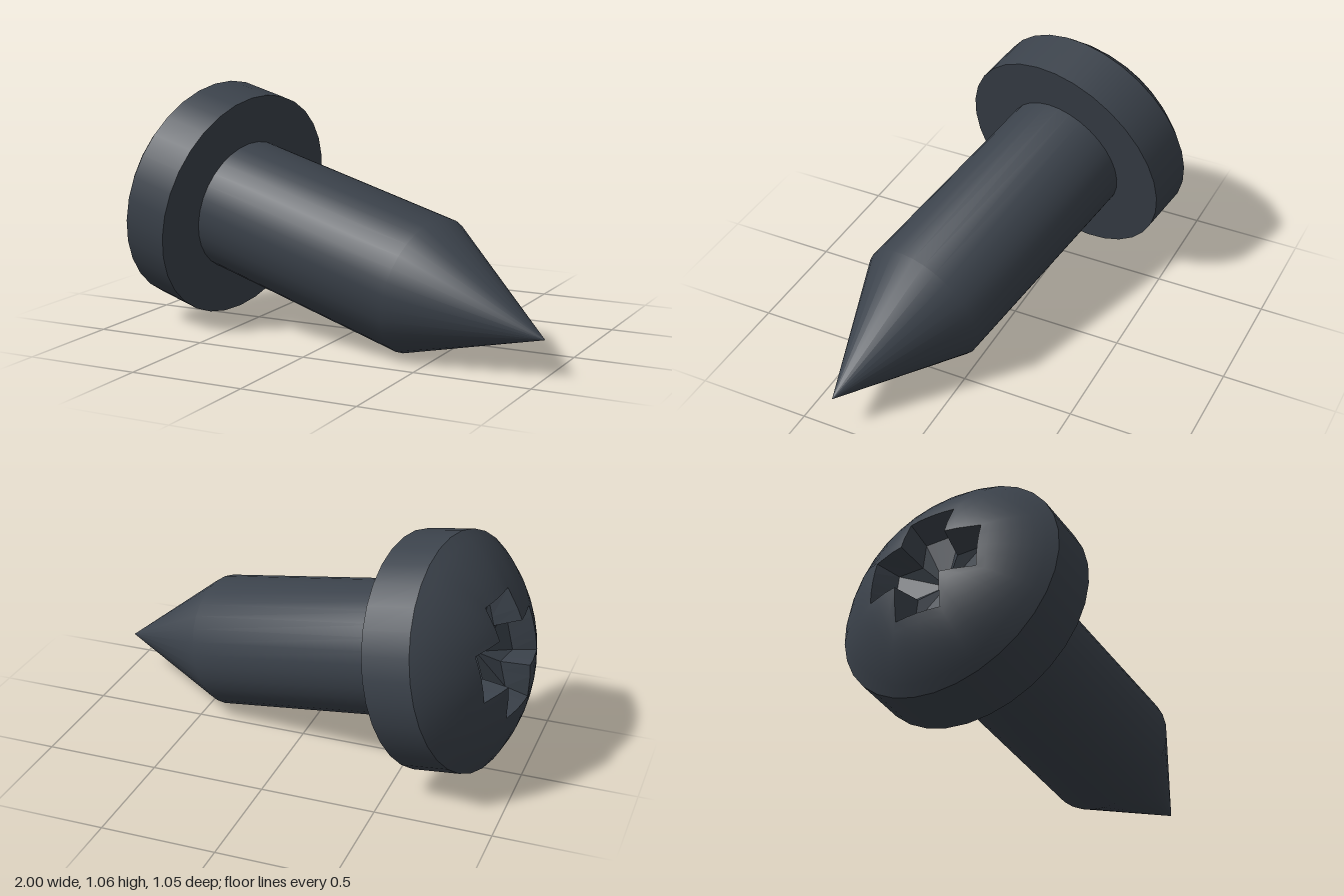
import * as THREE from 'three';

const SIDES = 32;
const HEAD_R = 0.512, WALL_H = 0.223, SHAFT_R = 0.297;
const DOME_R = 0.717, DOME_Y = WALL_H - Math.sqrt(DOME_R ** 2 - HEAD_R ** 2);
const ARM = 0.25, ARM_HALF = ARM * Math.tan(Math.PI / 8);

// Height of the domed head at a distance r from the axis
const domeY = (r) => DOME_Y + Math.sqrt(DOME_R ** 2 - r * r);

// Radius of the cross-shaped socket outline; its corners fall on the 32 sides
function crossRadius(phi) {
  const quarter = Math.PI / 2;
  const a = Math.abs(phi - Math.round(phi / quarter) * quarter);
  return a < Math.PI / 8 + 1e-6 ? ARM / Math.cos(a) : ARM_HALF / Math.sin(a);
}

// Skin closed rings, listed from the outside inwards; ring(row, phi) gives [radius, y]
function loft(rows, ring) {
  const pos = [], index = [];
  for (let i = 0; i < rows; i++) {
    for (let j = 0; j < SIDES; j++) {
      const phi = (j / SIDES) * Math.PI * 2;
      const [r, y] = ring(i, phi);
      pos.push(r * Math.sin(phi), y, r * Math.cos(phi));
      if (i === rows - 1) continue;
      const k = (j + 1) % SIDES;
      const a = i * SIDES + j, b = i * SIDES + k, c = a + SIDES, d = b + SIDES;
      index.push(a, b, c, b, d, c);
    }
  }
  const geo = new THREE.BufferGeometry();
  geo.setAttribute('position', new THREE.Float32BufferAttribute(pos, 3));
  geo.setIndex(index);
  geo.computeVertexNormals();
  return geo;
}

const lathe = (points) =>
  new THREE.LatheGeometry(points.map(([r, y]) => new THREE.Vector2(r, y)), SIDES);

export function createModel() {
  const steel = new THREE.MeshStandardMaterial({ color: 0x3b424b });
  steel.name = 'darkSteel';

  const screw = new THREE.Group();
  screw.name = 'screw';
  const add = (name, geo) => {
    const mesh = new THREE.Mesh(geo, steel);
    mesh.name = name;
    screw.add(mesh);
  };

  // Pointed shaft, smooth from tip to head
  add('shaft', lathe([[0, -1.625], [SHAFT_R, -1.03], [SHAFT_R, 0.01]]));

  // Flat underside and straight wall of the head
  add('headUnderside', lathe([[SHAFT_R - 0.02, 0], [HEAD_R, 0]]));
  add('headWall', lathe([[HEAD_R, 0], [HEAD_R, WALL_H]]));

  // Dome, running from the round rim in to the socket outline
  const domeRows = 8;
  add('headDome', loft(domeRows, (i, phi) => {
    const r = THREE.MathUtils.lerp(HEAD_R, crossRadius(phi), i / (domeRows - 1));
    return [r, domeY(r)];
  }));

  // Cross socket: tapered walls, then a floor sloping to a deep centre
  const apex = DOME_Y + DOME_R;
  const socket = loft(3, (i, phi) => {
    const r = crossRadius(phi);
    return [[r, domeY(r)], [r * 0.8, apex - 0.14], [0, apex - 0.2]][i];
  }).toNonIndexed();
  socket.computeVertexNormals();
  add('crossSocket', socket);

  // Lay the screw over so its tip points right, down and forward
  const axis = new THREE.Vector3(-0.954, 0.22, -0.204).normalize();
  const side = new THREE.Vector3(0, 1, 0).cross(axis).negate().normalize();
  side.applyAxisAngle(axis, 0.05);
  const third = new THREE.Vector3().crossVectors(side, axis);
  screw.quaternion.setFromRotationMatrix(new THREE.Matrix4().makeBasis(side, axis, third));
  screw.position.set(-0.55, 0.52, 0.02);

  const model = new THREE.Group();
  model.name = 'model';
  model.add(screw);
  return model;
}
